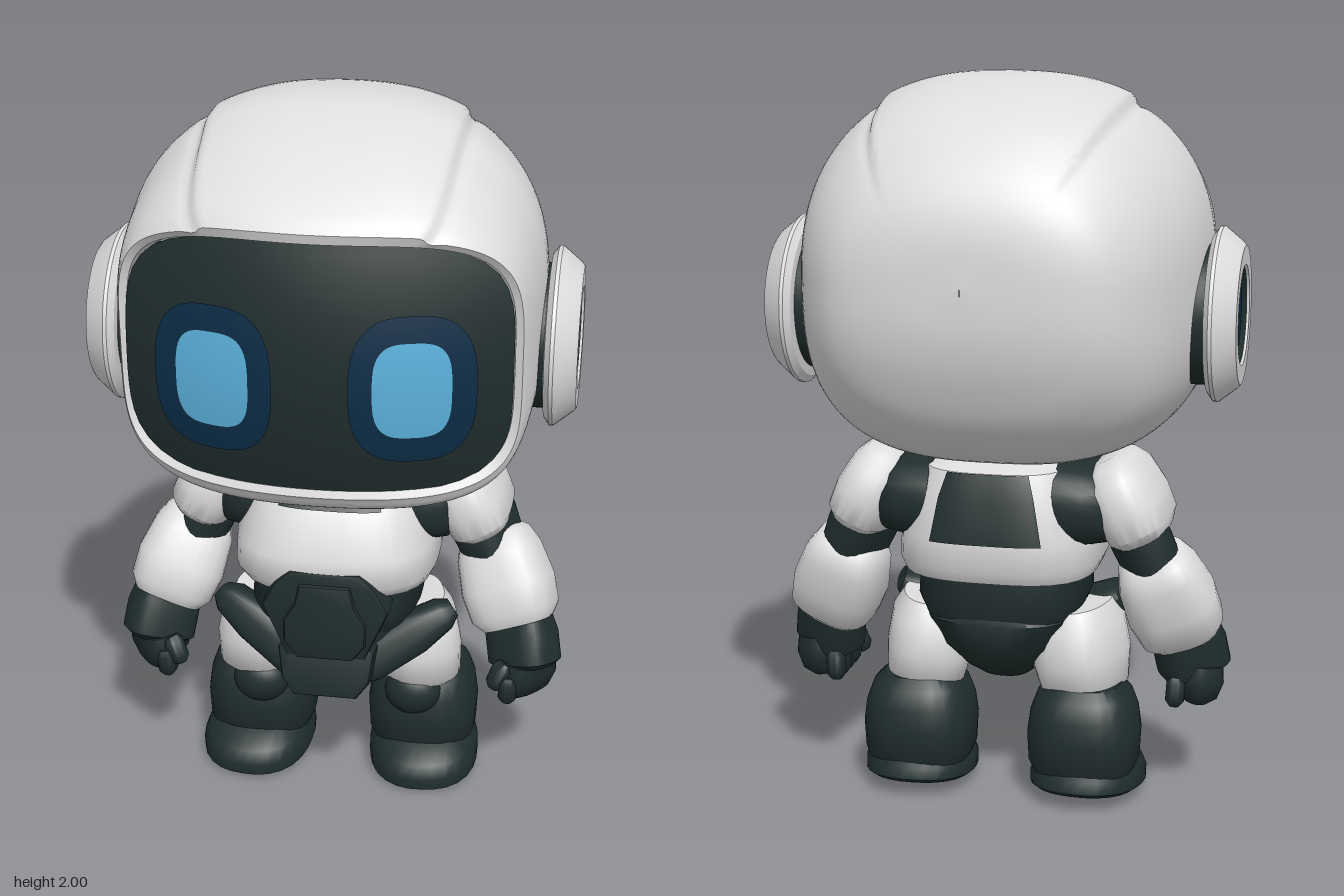
import * as THREE from 'three';
import { toCreasedNormals } from 'three/addons/utils/BufferGeometryUtils.js';

const mat = (name, color) => {
  const m = new THREE.MeshStandardMaterial({ color });
  m.name = name;
  return m;
};
const V = (x, y, z) => new THREE.Vector3(x, y, z);
const sstep = THREE.MathUtils.smoothstep;

// surface through rows of points that all have the same length
function skin(rows, crease = 0.75) {
  const n = rows[0].length, pos = [], idx = [];
  rows.forEach(r => r.forEach(p => pos.push(p.x, p.y, p.z)));
  for (let i = 0; i < rows.length - 1; i++)
    for (let j = 0; j < n - 1; j++) {
      const a = i * n + j, d = a + n;
      idx.push(a, a + 1, d + 1, a, d + 1, d);
    }
  const g = new THREE.BufferGeometry();
  g.setAttribute('position', new THREE.Float32BufferAttribute(pos, 3));
  g.setIndex(idx);
  return toCreasedNormals(g, crease);
}

// point of a unit superellipse at angle t
function superPoint(t, n) {
  const c = Math.cos(t), s = Math.sin(t);
  const r = 1 / Math.pow(Math.abs(c) ** n + Math.abs(s) ** n, 1 / n);
  return [r * c, r * s];
}

// stack of superellipse sections [y, rx, rz, cx, cz], optionally only an arc of it
function loft(sections, { n = 2.6, t0 = 0, t1 = Math.PI * 2, seg = 28, scale = 1, cap = true } = {}) {
  const ring = ([y, rx, rz, cx = 0, cz = 0], k) => Array.from({ length: seg + 1 }, (_, j) => {
    const [a, b] = superPoint(t0 + (t1 - t0) * j / seg, n);
    return V(cx + rx * a * k, y, cz - rz * b * k);
  });
  const rows = sections.map(s => ring(s, scale));
  if (cap) {
    rows.unshift(ring(sections[0], 0));
    rows.push(ring(sections.at(-1), 0));
  }
  return skin(rows);
}

// superellipse patch draped on the curved visor
const visorZ = (x, y) => 0.515 - 0.13 * (x / 0.49) ** 2 - 0.05 * ((y - 1.4) / 0.33) ** 2;
function drape(cx, cy, w, h, n, lift) {
  const rows = [];
  for (let i = 10; i >= 0; i--)
    rows.push(Array.from({ length: 65 }, (_, j) => {
      const [a, b] = superPoint(j / 64 * Math.PI * 2, n);
      const x = cx + w * a * i / 10, y = cy + h * b * i / 10;
      return V(x, y, visorZ(x, y) + lift);
    }));
  return skin(rows);
}

// one loop of the helmet; the raised crown follows a fixed range of angles
function helmetRow(z, w, n, top, bottom, bend, raise, warp) {
  const edge = 53 * Math.PI / 180, yc = (top + bottom) / 2, h = (top - bottom) / 2;
  return Array.from({ length: 241 }, (_, j) => {
    const t = j / 240 * Math.PI * 2;
    const off = Math.abs(t - Math.PI / 2) - (Math.PI / 2 - edge);
    const d = raise * (0.03 * (1 - sstep(off, -0.07, 0)) - 0.012 * Math.exp(-((off / 0.03) ** 2)));
    const [a, b] = superPoint(t + warp * Math.sin(2 * t), n + (t > Math.PI ? 0.4 : 0));
    return V(w * a * (1 + d), yc + h * b * (1 + d), z - bend * a * a + bend * 0.15 * b);
  });
}

function helmet() {
  // z, half width, roundness, top, bottom, forward bend
  const keys = [
    [-0.515, 0.001, 2.2, 1.51, 1.49, 0], [-0.505, 0.2, 2.2, 1.64, 1.37, 0],
    [-0.47, 0.33, 2.3, 1.74, 1.25, 0], [-0.4, 0.41, 2.3, 1.83, 1.12, 0],
    [-0.28, 0.48, 2.4, 1.915, 1.02, 0], [-0.1, 0.535, 2.4, 1.97, 0.97, 0],
    [0.1, 0.55, 2.5, 1.985, 0.955, 0.02], [0.25, 0.545, 2.6, 1.94, 0.96, 0.05],
    [0.37, 0.535, 3, 1.87, 0.985, 0.09], [0.46, 0.52, 3.6, 1.80, 1.02, 0.12],
    [0.495, 0.51, 4, 1.76, 1.06, 0.13]];
  const curve = o => new THREE.CatmullRomCurve3(keys.map(k => V(k[o], k[o + 1], k[o + 2])), false, 'catmullrom');
  const A = curve(0), B = curve(3), rows = [];
  for (let i = 0; i <= 60; i++) {
    const s = i / 60, a = A.getPoint(s), b = B.getPoint(s);
    rows.push(helmetRow(a.x, a.y, a.z, b.x, b.y, b.z, sstep(s, 0.12, 0.45), 0.12 * s ** 3));
  }
  // lip turning back towards the visor
  rows.push(helmetRow(0.488, 0.49, 4, 1.745, 1.08, 0.13, 0, 0.12));
  rows.push(helmetRow(0.41, 0.482, 4, 1.725, 1.085, 0.13, 0, 0.12));
  return skin(rows, 0.6);
}

export function createModel() {
  const root = new THREE.Group();
  root.name = 'robot';
  const white = mat('white shell', 0xdedede), dark = mat('dark rubber', 0x202d2d);
  const navy = mat('deep blue glass', 0x0c2d47), glow = mat('light blue eye', 0x5cb3de);
  const add = (name, geo, m, x = 0, y = 0, z = 0) => {
    const mesh = new THREE.Mesh(geo, m);
    mesh.name = name;
    mesh.position.set(x, y, z);
    root.add(mesh);
    return mesh;
  };
  // lofted limb from a to b, profile rows [fraction, rx, rz]
  const limb = (name, m, a, b, prof, n = 2.6) => {
    const dir = V(...b).sub(V(...a)), len = dir.length();
    const mesh = add(name, loft(prof.map(([f, rx, rz]) => [f * len, rx, rz]), { n }), m, ...a);
    mesh.quaternion.setFromUnitVectors(V(0, 1, 0), dir.normalize());
    return mesh;
  };

  // head
  add('helmet', helmet(), white);
  add('visor', drape(0, 1.403, 0.49, 0.33, 4, 0), dark);

  // chest, back panel, collar and neck
  const chest = [[0.65, 0.23, 0.2, 0, 0.015], [0.665, 0.265, 0.25, 0, 0.015], [0.70, 0.28, 0.275, 0, 0.02],
    [0.78, 0.275, 0.28, 0, 0.02], [0.90, 0.235, 0.235, 0, -0.01], [0.965, 0.2, 0.2, 0, -0.02], [0.985, 0.15, 0.15, 0, -0.02]];
  const arc = (mid, half) => ({ n: 3, t0: mid - half, t1: mid + half, scale: 1.025, cap: false });
  add('chest', loft(chest, { n: 3, seg: 40 }), white);
  add('backPanel', loft(chest.slice(3, 6), arc(Math.PI / 2, 0.52)), dark);
  add('collar', loft(chest.slice(4, 6), arc(Math.PI * 1.5, 0.56)), dark);
  add('neck', loft([[0.93, 0.15, 0.15], [1.02, 0.14, 0.14]]), dark);

  // waist and pelvis
  add('waist', loft([[0.5, 0.2, 0.19, 0, 0.02], [0.58, 0.235, 0.23, 0, 0.03], [0.68, 0.23, 0.22, 0, 0.03]], { n: 3 }), dark);
  add('pelvis', loft([[0.335, 0.07, 0.09, 0, 0.05], [0.38, 0.12, 0.15, 0, 0.04], [0.45, 0.18, 0.2, 0, 0.025],
    [0.53, 0.22, 0.215, 0, 0.02], [0.58, 0.2, 0.19, 0, 0.02]], { n: 2.6 }), dark);
  // layered belly plates
  const plate = (name, half, depth, z, tilt) => {
    const pts = [...half, ...half.map(([x, y]) => [-x, y]).reverse()].map(p => new THREE.Vector2(...p));
    const g = new THREE.ExtrudeGeometry(new THREE.Shape(pts),
      { depth, bevelThickness: 0.012, bevelSize: 0.012, bevelSegments: 2 });
    add(name, toCreasedNormals(g, 0.5), dark, 0, 0.6, z).rotation.x = tilt;
  };
  plate('bellyPlate', [[0.1, -0.1], [0.16, 0.04], [0.13, 0.1], [0.09, 0.14]], 0.1, 0.185, 0.03);
  plate('bucklePlate', [[0.07, -0.1], [0.1, -0.06], [0.1, 0.0], [0.07, 0.05], [0.06, 0.1]], 0.05, 0.25, 0);
  plate('groinPlate', [[0.08, -0.24], [0.11, -0.2], [0.12, -0.12], [0.09, -0.09]], 0.07, 0.18, -0.2);

  // ear profile [radius, distance from centre]
  const lathe = (pts, side) => {
    const g = new THREE.LatheGeometry(pts.map(p => new THREE.Vector2(...p)), 48);
    return toCreasedNormals(g.rotateZ(-side * Math.PI / 2), 0.5);
  };

  for (const s of [1, -1]) {
    const P = (x, y, z) => [x * s, y, z];
    const side = s > 0 ? 'left' : 'right';

    // eyes
    add(side + 'EyeRing', drape(0.25 * s, 1.37, 0.155, 0.195, 2.8, 0.004), navy);
    add(side + 'Eye', drape(0.25 * s, 1.372, 0.097, 0.128, 3.2, 0.008), glow);

    // ears
    add(side + 'EarCollar', lathe([[0.19, 0.48], [0.19, 0.565]], s), dark, 0, 1.37, 0.052);
    add(side + 'EarShell', lathe([[0.17, 0.55], [0.215, 0.555], [0.235, 0.57], [0.235, 0.58], [0.195, 0.63],
      [0.185, 0.638], [0.135, 0.638], [0.128, 0.63]], s), white, 0, 1.37, 0.052);
    add(side + 'EarRing', lathe([[0.131, 0.633], [0.112, 0.618]], s), dark, 0, 1.37, 0.052);
    add(side + 'EarLens', lathe([[0.114, 0.619], [0.0, 0.622]], s), navy, 0, 1.37, 0.052);

    // arm
    limb(side + 'ArmSocket', dark, P(0.17, 0.865, -0.03), P(0.33, 0.865, -0.03),
      [[0, 0.12, 0.18], [0.5, 0.115, 0.18], [0.85, 0.105, 0.165], [1, 0.08, 0.13]]);
    limb(side + 'Shoulder', white, P(0.295, 0.99, -0.035), P(0.405, 0.775, -0.035),
      [[0, 0.035, 0.08], [0.07, 0.065, 0.125], [0.25, 0.088, 0.165], [0.6, 0.098, 0.175], [0.88, 0.092, 0.165], [1, 0.07, 0.13]], 2.8);
    limb(side + 'UpperArm', dark, P(0.34, 0.88, -0.075), P(0.44, 0.65, -0.05),
      [[0, 0.07, 0.09], [0.5, 0.08, 0.105], [1, 0.075, 0.09]]);
    limb(side + 'Forearm', white, P(0.415, 0.73, -0.085), P(0.505, 0.485, 0.02),
      [[0, 0.06, 0.07], [0.07, 0.088, 0.095], [0.25, 0.105, 0.115], [0.6, 0.117, 0.128], [0.88, 0.112, 0.12], [1, 0.085, 0.095]], 3);
    limb(side + 'Cuff', dark, P(0.505, 0.52, 0.005), P(0.53, 0.37, 0.05),
      [[0, 0.065, 0.085], [0.4, 0.078, 0.1], [0.9, 0.078, 0.1], [1, 0.06, 0.08]], 3);
    limb(side + 'Palm', dark, P(0.535, 0.4, 0.045), P(0.52, 0.285, 0.04),
      [[0, 0.06, 0.085], [0.4, 0.066, 0.095], [0.8, 0.055, 0.085], [1, 0.03, 0.06]], 3);
    for (let i = 0; i < 4; i++) {
      const z = 0.115 - i * 0.048;
      limb(side + 'Finger' + (i + 1), dark, P(0.49, 0.37, z), P(0.485, 0.285, z - 0.005),
        [[0, 0.022, 0.016], [0.2, 0.032, 0.026], [0.8, 0.03, 0.026], [1, 0.016, 0.014]]);
    }
    limb(side + 'Thumb', dark, P(0.48, 0.4, 0.1), P(0.445, 0.325, 0.115),
      [[0, 0.02, 0.02], [0.2, 0.03, 0.03], [0.8, 0.027, 0.027], [1, 0.014, 0.014]]);

    // hip guard sweeping from the groin up to the side
    limb(side + 'HipGuard', dark, P(0.07, 0.405, 0.2), P(0.325, 0.56, 0.09),
      [[0, 0.05, 0.035], [0.15, 0.062, 0.045], [0.6, 0.062, 0.055], [0.9, 0.045, 0.06], [1, 0.025, 0.04]], 3);

    // leg
    limb(side + 'Thigh', white, P(0.2, 0.55, 0.005), P(0.235, 0.29, 0.0),
      [[0, 0.09, 0.11], [0.2, 0.115, 0.145], [0.55, 0.12, 0.155], [0.9, 0.108, 0.13], [1, 0.085, 0.1]], 2.6);
    const knee = add(side + 'Knee', new THREE.SphereGeometry(0.08, 24, 16), dark, ...P(0.218, 0.285, 0.09));
    knee.scale.set(1, 0.9, 0.75);
    add(side + 'Boot', loft([[0.07, 0.13, 0.125], [0.12, 0.152, 0.15], [0.2, 0.156, 0.156], [0.26, 0.148, 0.148],
      [0.31, 0.13, 0.13], [0.34, 0.1, 0.1]], { n: 2.7 }), dark, ...P(0.235, 0, -0.035));
    const foot = add(side + 'Foot', loft([[0, 0.14, 0.175], [0.012, 0.156, 0.193], [0.045, 0.156, 0.193], [0.08, 0.142, 0.172],
      [0.11, 0.11, 0.125]], { n: 2.4 }), dark, ...P(0.242, 0.027, -0.005));
    foot.rotation.set(0.13, 0.08 * s, 0);
  }
  return root;
}
